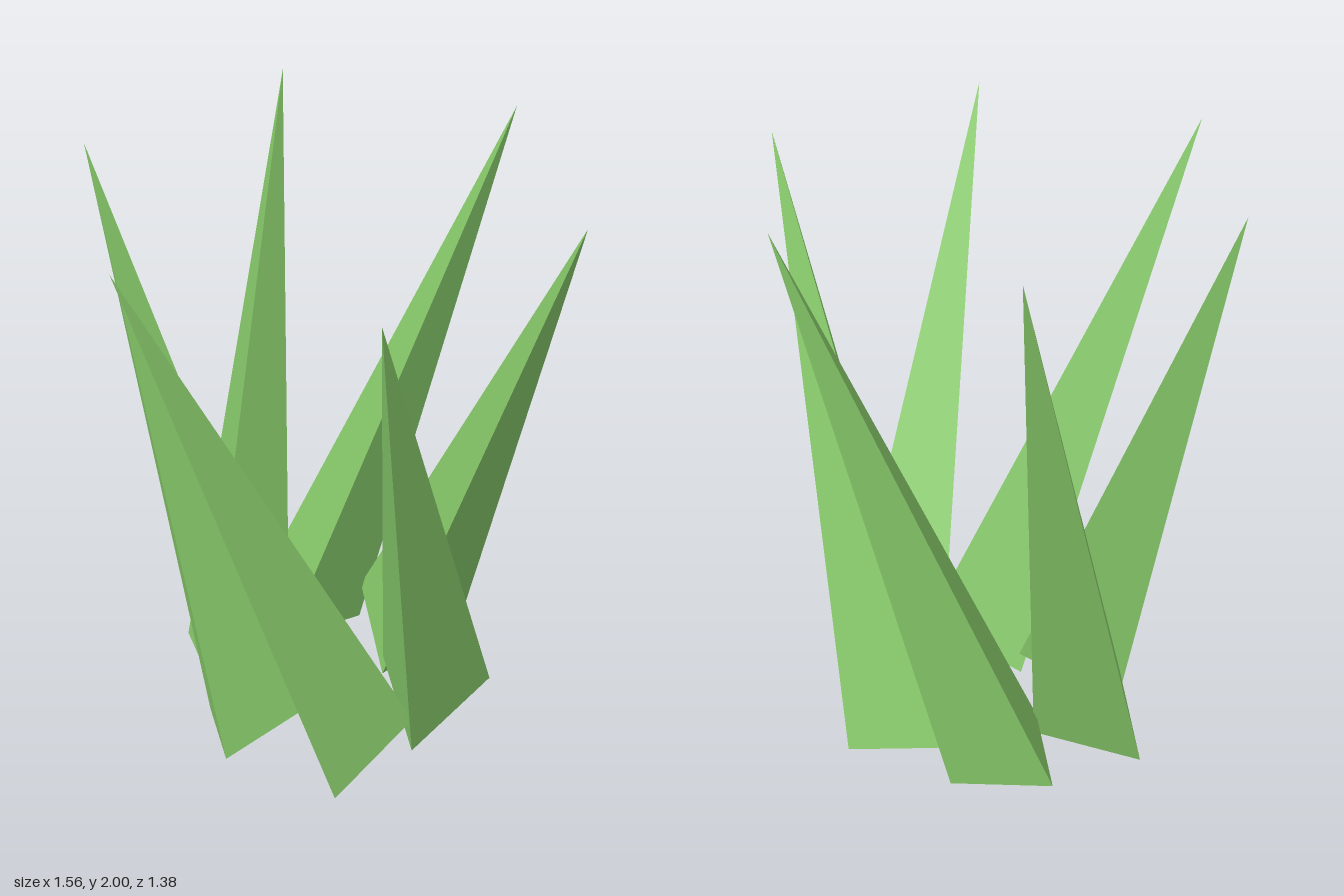
import * as THREE from 'three';

// Tuft of six three-sided blades, swirling outwards around the centre
export function createModel() {
  const group = new THREE.Group();
  group.name = 'grassTuft';
  const grass = new THREE.MeshStandardMaterial({ color: 0x88cb6b, flatShading: true });
  grass.name = 'grass green';

  const count = 6, radius = 0.22, height = 2.045, lean = 0.346;
  for (let i = 0; i < count; i++) {
    const blade = new THREE.ConeGeometry(radius, height, 3, 1);
    blade.translate(0, height / 2, 0);      // root at the origin
    blade.rotateY(i % 2 ? 0 : Math.PI);     // every other blade is turned round
    blade.rotateX(lean);                    // lean sideways past the centre
    blade.translate(0.362, 0.0755, -0.003); // root ring
    blade.rotateY((i * Math.PI * 2) / count);
    const mesh = new THREE.Mesh(blade, grass);
    mesh.name = 'blade' + (i + 1);
    group.add(mesh);
  }
  return group;
}
